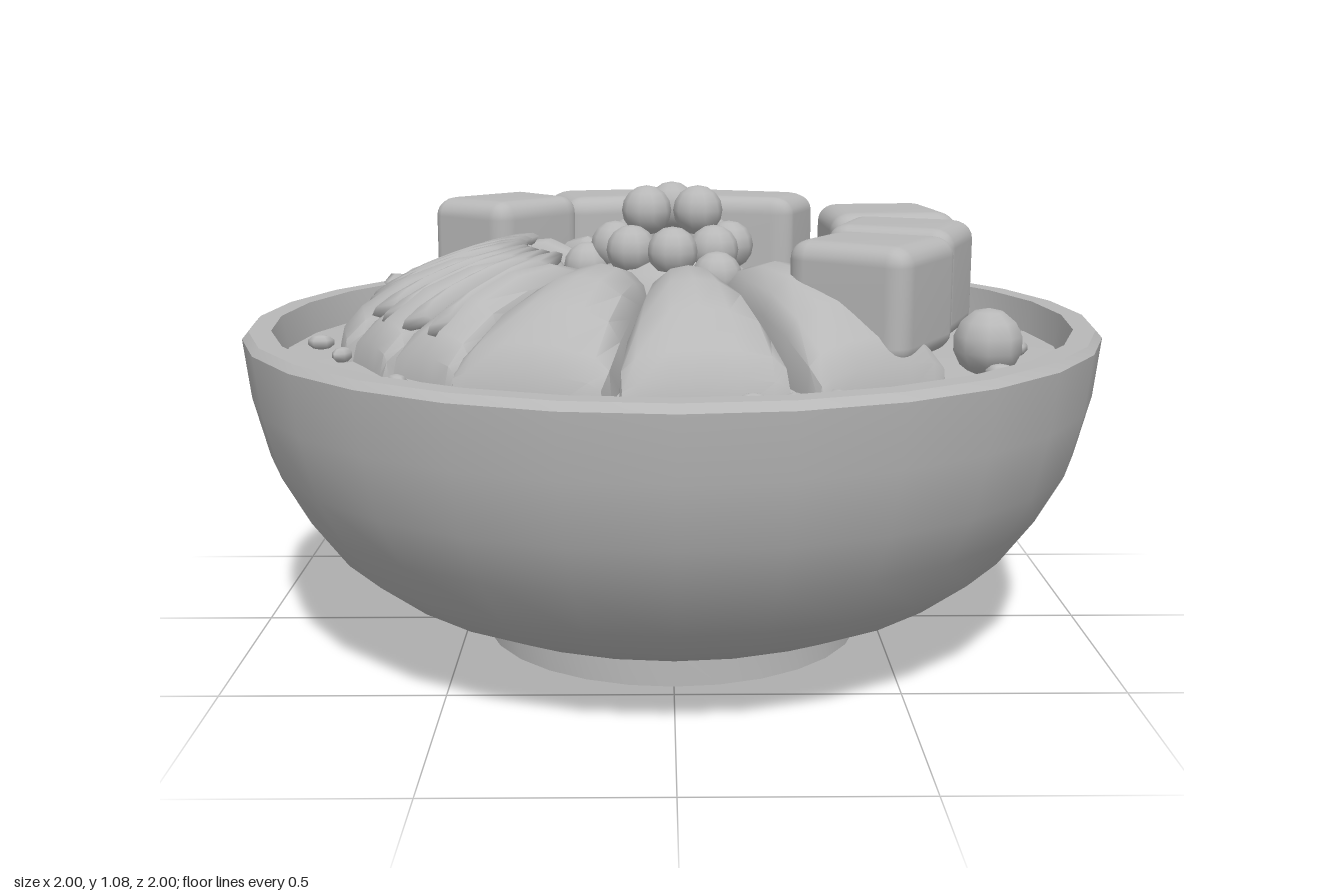
import * as THREE from 'three';
import { mergeVertices, toCreasedNormals } from 'three/addons/utils/BufferGeometryUtils.js';
import { RoundedBoxGeometry } from 'three/addons/geometries/RoundedBoxGeometry.js';

const V2 = (p) => new THREE.Vector2(p[0], p[1]);

export function createModel() {
  const model = new THREE.Group();
  const grey = new THREE.MeshStandardMaterial({ color: 0xb8b8b8 });
  grey.name = 'plain grey';

  function add(name, geometry, x = 0, y = 0, z = 0, parent = model) {
    const mesh = new THREE.Mesh(geometry, grey);
    mesh.name = name;
    mesh.position.set(x, y, z);
    parent.add(mesh);
    return mesh;
  }

  // Bowl: foot, curved wall, flat rim and inner wall
  const bowl = [[0, 0], [0.455, 0], [0.455, 0.09], [0.57, 0.105], [0.70, 0.165], [0.81, 0.25],
    [0.89, 0.36], [0.95, 0.47], [0.985, 0.61], [1.0, 0.745], [0.985, 0.762], [0.935, 0.762], [0.915, 0.66]];
  add('bowl', toCreasedNormals(new THREE.LatheGeometry(bowl.map(V2), 28), 0.7));

  // Gently domed filling
  const fill = [[0.925, 0.685], [0.7, 0.71], [0.4, 0.73], [0, 0.735]];
  add('filling', new THREE.LatheGeometry(fill.map(V2), 28));

  // Puffy wedge running outward along +z, narrow at the centre; rows are [radius, height, width factor]
  function wedge(ri, ro, halfAngle, h) {
    const rows = [[0, 0, 0.85], [0.01, 0.6, 0.9], [0.1, 0.9, 1], [0.28, 1, 1], [0.5, 0.95, 1],
      [0.72, 0.76, 1], [0.9, 0.48, 0.98], [0.98, 0.26, 0.93], [1, 0, 0.88]];
    const us = [-1, -0.97, -0.8, -0.4, 0, 0.4, 0.8, 0.97, 1];
    const tops = [0, 0.62, 0.84, 0.97, 1, 0.97, 0.84, 0.62, 0];
    const pos = [], idx = [], n = us.length;
    rows.forEach(([t, k, w], i) => {
      const r = ri + (ro - ri) * t;
      us.forEach((u, j) => {
        pos.push(u * r * Math.tan(halfAngle) * w, 0.7 + h * k * tops[j], r);
        if (i < rows.length - 1 && j < n - 1) {
          const a = i * n + j, b = a + n;
          idx.push(a, b, a + 1, b, b + 1, a + 1);
        }
      });
    });
    const g = new THREE.BufferGeometry();
    g.setAttribute('position', new THREE.Float32BufferAttribute(pos, 3));
    g.setIndex(idx);
    return toCreasedNormals(g, 0.8);
  }
  const deg = THREE.MathUtils.degToRad;

  // Three broad wedges at the front
  for (const a of [-23, 4.5, 34]) {
    add('fruitWedge', wedge(0.25, 0.77, deg(13.5), 0.235)).rotation.y = deg(a);
  }
  // Fan of narrower slices on the side
  for (const [a, ro] of [[46, 0.74], [62, 0.76], [78, 0.78], [93, 0.77], [108, 0.76], [123, 0.64], [139, 0.5]]) {
    add('fanSlice', wedge(0.25, ro, deg(9), 0.225)).rotation.y = deg(-a);
  }
  // Thin blades standing between the slices
  for (const a of [46, 54, 63, 70, 83, 90, 100, 109]) {
    const pivot = new THREE.Group();
    pivot.name = 'sliceBlade';
    pivot.rotation.y = deg(-a);
    model.add(pivot);
    const blade = add('blade', new THREE.SphereGeometry(1, 8, 8), 0, 0.872, 0.53, pivot);
    blade.scale.set(0.012, 0.035, 0.2);
    blade.rotation.set(deg(20), 0, deg(20));
  }

  // Soft cubes: a rounded box stretched over four ground corners (back left, back right, front right, front left)
  function cube(corners, y0, y1) {
    const g0 = new RoundedBoxGeometry(0.25, 0.25, 0.25, 3, 0.042);
    g0.deleteAttribute('normal');
    g0.deleteAttribute('uv');
    const g = mergeVertices(g0, 1e-4);
    const p = g.attributes.position;
    const cx = corners.reduce((s, c) => s + c[0], 0) / 4, cz = corners.reduce((s, c) => s + c[1], 0) / 4;
    for (let i = 0; i < p.count; i++) {
      const u = p.getX(i) * 4 + 0.5, v = p.getZ(i) * 4 + 0.5, h = p.getY(i) * 4 + 0.5;
      const mix = (k) => (1 - v) * ((1 - u) * corners[0][k] + u * corners[1][k])
        + v * ((1 - u) * corners[3][k] + u * corners[2][k]);
      const x = cx + (mix(0) - cx) * 1.05, z = cz + (mix(1) - cz) * 1.05;
      p.setXYZ(i, x, y0 + (y1 - y0) * h, z);
    }
    g.computeVertexNormals();
    return g;
  }
  const cubes = [
    [[[-0.39, -0.55], [-0.24, -0.37], [-0.42, -0.17], [-0.61, -0.33]], 1.015],
    [[[-0.33, -0.61], [0.0, -0.68], [0.02, -0.44], [-0.26, -0.36]], 1.01],
    [[[0.03, -0.68], [0.38, -0.54], [0.30, -0.35], [0.02, -0.44]], 1.01],
    [[[0.38, -0.34], [0.65, -0.37], [0.69, -0.06], [0.39, -0.03]], 1.0],
    [[[0.43, -0.04], [0.70, 0.07], [0.60, 0.32], [0.35, 0.19]], 1.0],
    [[[0.36, 0.24], [0.61, 0.36], [0.46, 0.61], [0.24, 0.44]], 0.995],
  ];
  for (const [corners, top] of cubes) add('softCube', cube(corners, 0.745, top));

  // Central mound
  const mound = [[0.235, 0.7], [0.225, 0.8], [0.17, 0.88], [0.09, 0.93], [0, 0.95]];
  add('centreMound', new THREE.LatheGeometry(mound.map(V2), 9));

  // Berries: three on top, a ring below, three at the sides
  const berry = new THREE.SphereGeometry(0.058, 10, 8);
  for (const [x, z] of [[-0.06, 0.03], [0.06, 0.03], [0, -0.08]]) add('topBerry', berry, x, 1.017, z);
  for (let i = 0; i < 8; i++) {
    const a = i * Math.PI / 4;
    add('ringBerry', berry, 0.135 * Math.sin(a), 0.93, 0.13 * Math.cos(a) - 0.01);
  }
  for (const [x, z] of [[-0.2, -0.01], [0.1, -0.19], [0.1, 0.18]]) add('sideBerry', berry, x, 0.88, z);

  // Loose round berry near the rim
  add('looseBerry', new THREE.SphereGeometry(0.076, 9, 7), 0.68, 0.765, 0.39);

  // Thin leaves leaning toward the centre
  for (const [x, z, turn] of [[-0.67, -0.41, 0.2], [-0.555, -0.565, 0], [-0.4, -0.68, -0.2]]) {
    const pivot = new THREE.Group();
    pivot.name = 'leaf';
    pivot.position.set(x, 0.765, z);
    pivot.rotation.y = Math.atan2(-x, -z) + turn;
    model.add(pivot);
    const leaf = add('leafBlade', new THREE.SphereGeometry(1, 8, 6), 0, 0, 0, pivot);
    leaf.scale.set(0.11, 0.014, 0.085);
    leaf.rotation.x = deg(27);
  }

  // Scattered seeds
  const seed = new THREE.SphereGeometry(1, 6, 5);
  const seeds = [[-0.13, -0.89], [-0.15, -0.77], [0.28, -0.79], [0.63, -0.42], [0.82, -0.02], [0.79, 0.2],
    [0.69, 0.48], [0.32, 0.74], [0.23, 0.77], [0.15, 0.77], [-0.57, 0.58], [-0.74, 0.27], [-0.82, 0.11]];
  seeds.forEach(([x, z], i) => {
    const s = add('seed', seed, x, 0.718, z);
    s.scale.set(0.032, 0.018, 0.021);
    s.rotation.y = i * 2.1;
  });

  return model;
}
